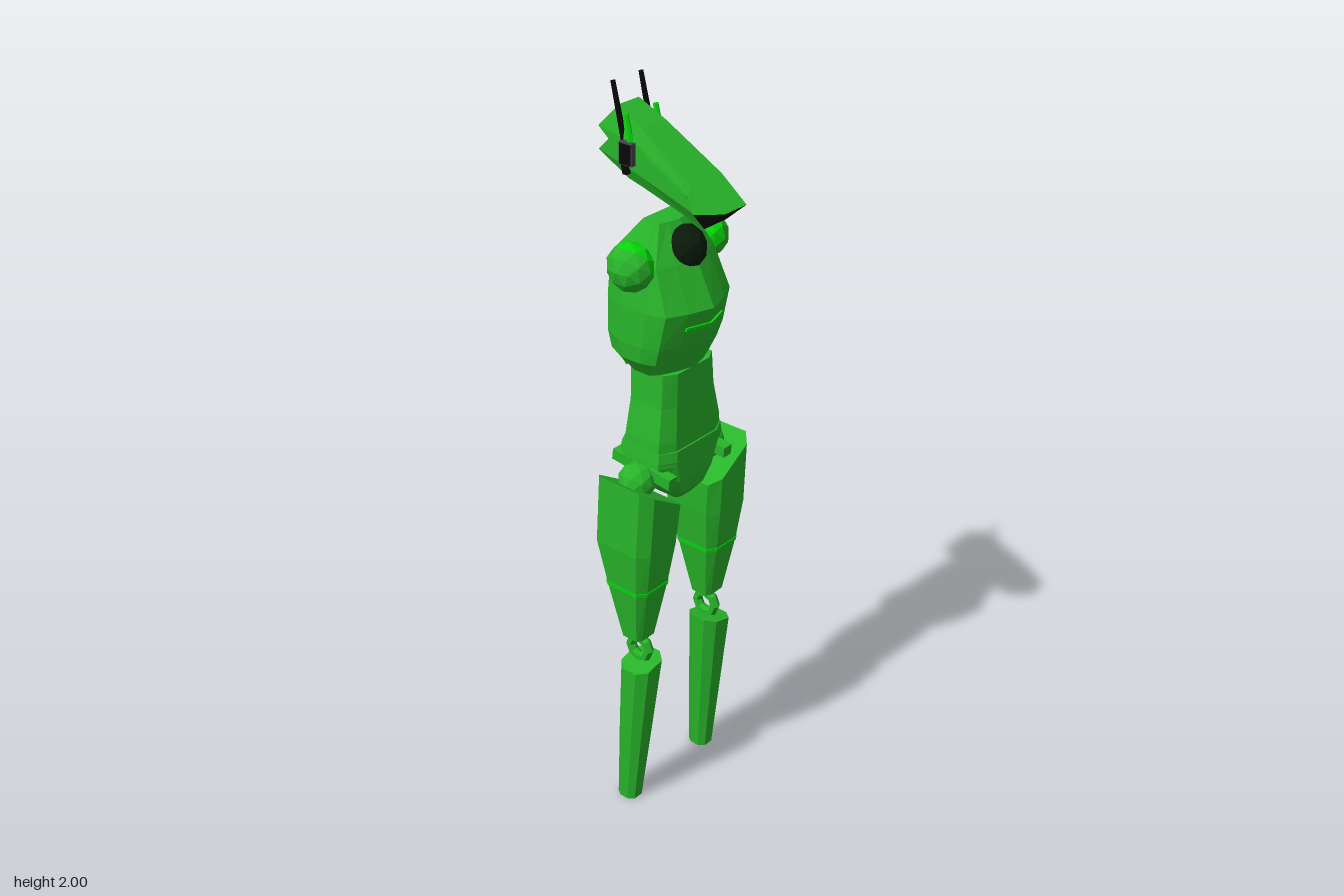
import * as THREE from 'three';
import { ConvexGeometry } from 'three/addons/geometries/ConvexGeometry.js';

const mat = (name, color) => Object.assign(
  new THREE.MeshStandardMaterial({ color, flatShading: true }), { name });

// Skin a stack of equal-length point rings; both ends are closed by strips.
function loft(rings) {
  const n = rings[0].length, pos = [];
  const tri = (a, b, c) => pos.push(...a, ...b, ...c);
  const quad = (a, b, c, d) => { tri(a, b, c); tri(a, c, d); };
  for (let r = 0; r < rings.length - 1; r++)
    for (let i = 0; i < n; i++) {
      const j = (i + 1) % n;
      quad(rings[r][i], rings[r][j], rings[r + 1][j], rings[r + 1][i]);
    }
  const lo = rings[0], hi = rings[rings.length - 1];
  for (let i = 0; i < Math.floor(n / 2); i++) {
    const k = n - 1 - i;
    quad(hi[i], hi[i + 1], hi[k - 1], hi[k]);
    quad(lo[k], lo[k - 1], lo[i + 1], lo[i]);
  }
  const g = new THREE.BufferGeometry();
  g.setAttribute('position', new THREE.Float32BufferAttribute(pos, 3));
  g.computeVertexNormals();
  return g;
}

// Convex solid mirrored across x from a few points
const mirroredHull = pts => new ConvexGeometry(pts.flatMap(([x, y, z]) =>
  [new THREE.Vector3(x, y, z), new THREE.Vector3(-x, y, z)]));

// Horizontal outlines, in units of half width and half depth
const OCT = [[1, .45], [1, -.45], [.55, -1], [-.55, -1], [-1, -.45], [-1, .45], [-.55, 1], [.55, 1]];
const BOXY = [[1, .72], [1, -.72], [.64, -1], [-.64, -1], [-1, -.72], [-1, .72], [-.64, 1], [.64, 1]];
const RIDGED = [[1, .2], [1, -.45], [.8, -1], [-.8, -1], [-1, -.45], [-1, .2],
  [-.9, .6], [-.5, .82], [0, 1], [.5, .82], [.9, .6]];
const BREAST = [[.5, .75], [-.5, .75], [-.5, .85], [0, 1.03], [.5, .85]];

// Rings from [y, xMin, xMax, zBack, zFront, rise across x]
const stack = (outline, rows) => loft(rows.map(([y, x0, x1, z0, z1, rise = 0]) =>
  outline.map(([u, v]) => [
    (x0 + x1) / 2 + u * (x1 - x0) / 2,
    y + u * rise,
    (z0 + z1) / 2 + v * (z1 - z0) / 2,
  ])));
const centred = (outline, rows) => stack(outline, rows.map(([y, w, z0, z1]) => [y, -w, w, z0, z1]));

// Ball whose inner upper facets use the second material
function twoToneBall(radius, s) {
  const g = new THREE.IcosahedronGeometry(radius, 1), p = g.attributes.position;
  for (let i = 0; i < p.count; i += 3) {
    let d = 0;
    for (let k = i; k < i + 3; k++) d += -s * p.getX(k) + .4 * p.getY(k) - .2 * p.getZ(k);
    g.addGroup(i, 3, d > 0 ? 1 : 0);
  }
  return g;
}

export function createModel() {
  const model = new THREE.Group();
  model.name = 'robot';
  const green = mat('bodyGreen', 0x28b42a);
  const bright = mat('brightGreen', 0x06d80a);
  const black = mat('black', 0x080808);
  const neckDark = mat('neckDark', 0x0a1a0a);
  const grey = mat('earGrey', 0x4a424c);

  const add = (name, geo, material, x = 0, y = 0, z = 0, parent = model) => {
    const m = new THREE.Mesh(geo, material);
    m.name = name;
    m.position.set(x, y, z);
    parent.add(m);
    return m;
  };

  // Head: rows of [half width, y, z] from crown to jaw, back to front
  const headRing = rows => [
    ...[...rows].reverse(),
    ...rows.map(([w, y, z]) => [-w, y, z]),
  ];
  const tip = [.04, 1.752, .187], cheek = [.062, 1.738, .112], chin = [.04, 1.70, .127];
  add('head', loft([
    headRing([[.035, 1.94, -.138], [.055, 1.883, -.187], [.055, 1.857, -.155], [.055, 1.825, -.187], [.04, 1.767, -.106]]),
    headRing([[.042, 1.90, -.06], [.055, 1.86, -.06], [.056, 1.83, -.06], [.056, 1.79, -.06], [.04, 1.755, -.06]]),
    headRing([[.055, 1.803, .1], [.06, 1.78, .1], [.062, 1.765, .1], [.062, 1.745, .1], [.04, 1.708, .1]]),
    headRing([tip, cheek, cheek, cheek, chin]),
  ]), green);
  add('mouth', mirroredHull([tip, cheek, chin]), black);

  // Neck joint
  add('neckBall', new THREE.IcosahedronGeometry(.055, 1), neckDark, 0, 1.617, .035).scale.y = 1.08;

  // Chest, waist and pelvis
  add('chest', centred(RIDGED, [
    [1.295, .092, -.085, .062],
    [1.345, .13, -.112, .08],
    [1.39, .135, -.12, .1],
    [1.485, .133, -.12, .127],
    [1.595, .118, -.118, .074],
    [1.685, .064, -.05, .018],
  ]), green);
  add('breastStripe', centred(BREAST, [[1.436, .134, -.12, .115], [1.446, .134, -.12, .118]]), bright);
  add('lowerBack', mirroredHull([
    [.1, 1.36, -.113], [.03, 1.326, -.138], [.03, 1.287, -.092], [.088, 1.3, -.08], [.04, 1.395, -.12],
  ]), green);
  add('waist', centred(BOXY, [
    [1.06, .122, -.085, .075],
    [1.13, .117, -.08, .073],
    [1.22, .1, -.075, .066],
    [1.31, .094, -.078, .065],
  ]), green);
  add('pelvis', centred(BOXY, [
    [.933, .032, -.045, .04],
    [.965, .062, -.07, .065],
    [1.01, .095, -.085, .075],
    [1.075, .122, -.088, .076],
  ]), green);
  add('belt', centred(BOXY, [[1.075, .124, -.097, .08], [1.103, .12, -.093, .078]]), green);

  for (const s of [1, -1]) {
    const side = new THREE.Group();
    side.name = s > 0 ? 'leftSide' : 'rightSide';
    model.add(side);
    const put = (name, geo, material, x, y, z) => add(name, geo, material, s * x, y, z, side);
    // Limb sections given as inner and outer x, mirrored by side
    const limb = (outline, rows) => stack(outline, rows.map(([y, inner, outer, z0, z1, rise = 0]) =>
      [y, Math.min(s * inner, s * outer), Math.max(s * inner, s * outer), z0, z1, s * rise]));

    // Ear block, sleeve, antenna and cheek slat
    put('earBlock', new THREE.BoxGeometry(.025, .055, .04), grey, .0575, 1.838, -.09);
    put('earCover', new THREE.BoxGeometry(.002, .05, .034), black, .071, 1.838, -.09);
    const sleeve = put('antennaSleeve', new THREE.CylinderGeometry(.007, .009, .085, 6), bright, .053, 1.887, -.092);
    const antenna = put('antenna', new THREE.CylinderGeometry(.006, .009, .215, 6), black, .049, 1.895, -.119);
    const base = put('antennaBase', new THREE.BoxGeometry(.012, .05, .016), black, .06, 1.81, -.1);
    sleeve.rotation.x = antenna.rotation.x = base.rotation.x = -.23;
    const slat = put('cheekSlat', new THREE.BoxGeometry(.009, .009, .145), green, .059, 1.807, .028);
    slat.rotation.x = .47;

    // Shoulder and hip joints
    put('shoulderBall', twoToneBall(.063, s), [green, bright], .138, 1.597, -.016).scale.x = .84;
    put('hipBall', new THREE.IcosahedronGeometry(.05, 1), green, .135, 1.017, -.005);
    const bar = put('hipBar', new THREE.BoxGeometry(.03, .03, .19), green, .108, 1.042, -.005);
    bar.rotation.x = .12;

    // Leg
    put('thigh', limb(BOXY, [
      [.553, .105, .178, -.032, .032],
      [.72, .079, .202, -.07, .064],
      [.845, .062, .214, -.1, .083],
      [.99, .056, .21, -.092, .094, .048],
    ]), green, 0, 0, 0);
    put('thighStripe', limb(BOXY, [
      [.715, .078, .203, -.071, .065],
      [.726, .077, .204, -.074, .067],
    ]), bright, 0, 0, 0);
    const knee = put('kneeRing', new THREE.TorusGeometry(.031, .014, 6, 8), green, .138, .507, 0);
    knee.rotation.y = Math.PI / 2;
    put('shin', limb(OCT, [
      [0, .126, .18, -.06, 0],
      [.25, .108, .186, -.05, .03],
      [.468, .092, .19, -.04, .056, -.012],
    ]), green, 0, 0, 0);
  }
  return model;
}
